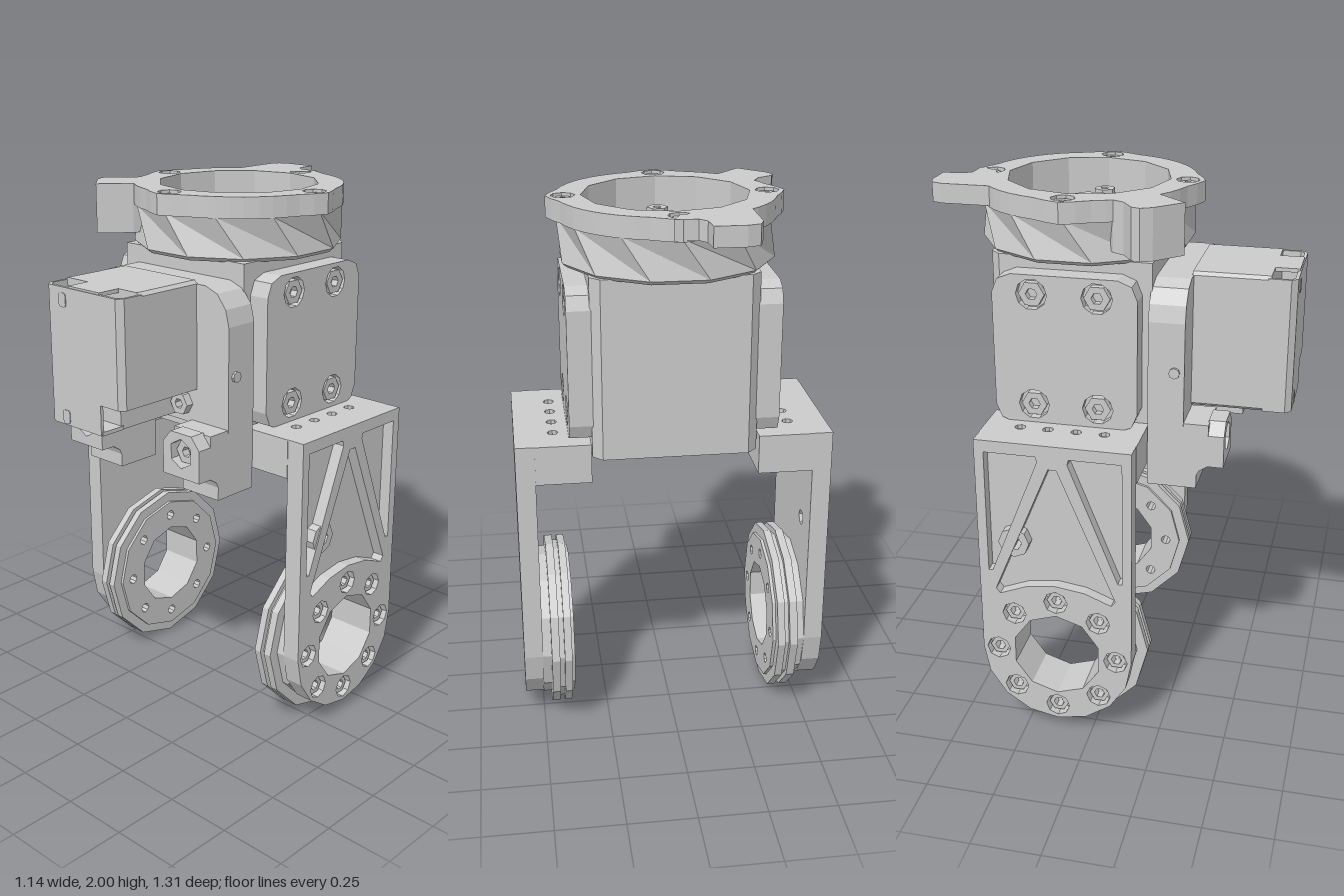
import * as THREE from 'three';

const mat = new THREE.MeshStandardMaterial({ color: 0xcccccc, flatShading: true });
const V = (a, b) => new THREE.Vector2(a, b);
const TAU = Math.PI * 2;

// ---- outline helpers ----
function ngon(n, r, cx = 0, cy = 0, turn = 0) {
  return Array.from({ length: n }, (_, i) => {
    const t = turn + (i / n) * TAU;
    return V(cx + r * Math.cos(t), cy + r * Math.sin(t));
  });
}
const pts = (list) => list.map(([a, b]) => V(a, b));
function rect(x0, y0, x1, y1, c = 0) {
  if (!c) return pts([[x0, y0], [x1, y0], [x1, y1], [x0, y1]]);
  const out = [], k = c * 0.29;
  for (const [x, y, sx, sy, flip] of [[x0, y0, 1, 1, 0], [x1, y0, -1, 1, 1], [x1, y1, -1, -1, 0], [x0, y1, 1, -1, 1]]) {
    const corner = [V(x, y + sy * c), V(x + sx * k, y + sy * k), V(x + sx * c, y)];
    out.push(...(flip ? corner.reverse() : corner));
  }
  return out;
}
// circle of n hole outlines
function holeCircle(n, R, r, cx, cy, sides = 8) {
  return ngon(n, R, cx, cy).map((p) => ngon(sides, r, p.x, p.y));
}

// Extrude an outline between two positions along an axis.
// x: outline is (-z, y); y: outline is (x, z); z: outline is (x, y)
function slab(parent, name, axis, from, to, outline, holes = []) {
  const shape = new THREE.Shape(outline);
  for (const h of holes) shape.holes.push(new THREE.Path(h));
  const g = new THREE.ExtrudeGeometry(shape, { depth: to - from, bevelEnabled: false });
  if (axis === 'x') g.rotateY(Math.PI / 2).translate(from, 0, 0);
  if (axis === 'y') g.rotateX(Math.PI / 2).translate(0, to, 0);
  if (axis === 'z') g.translate(0, 0, from);
  return add(parent, name, g);
}
function add(parent, name, g) {
  const m = new THREE.Mesh(g, mat);
  m.name = name;
  parent.add(m);
  return m;
}
// hexagonal screw head with a socket
function screw(parent, axis, from, to, a, b, r, socket = r * 0.45) {
  slab(parent, 'screw', axis, from, to, ngon(6, r, a, b), [ngon(6, socket, a, b)]);
}

// One side: mounting plate, shelf, leg and bearing ring (local z is centred on the pivot)
function buildSide() {
  const side = new THREE.Group();
  side.name = 'sideArm';

  // plate bolted to the housing
  const bolts = [[-0.117, 1.25], [0.117, 1.25], [-0.117, 1.66], [0.117, 1.66]];
  slab(side, 'sidePlateBack', 'x', 0.28, 0.345, rect(-0.26, 1.17, 0.26, 1.73, 0.07));
  slab(side, 'sidePlate', 'x', 0.345, 0.375, rect(-0.26, 1.17, 0.26, 1.73, 0.07),
    bolts.map(([a, b]) => ngon(10, 0.056, a, b)));
  for (const [a, b] of bolts) screw(side, 'x', 0.34, 0.372, a, b, 0.047);

  // shelf with a row of holes
  const row = [-0.155, -0.052, 0.052, 0.155];
  slab(side, 'shelf', 'y', 1.035, 1.18, rect(0.3, -0.287, 0.5, 0.287), row.map((z) => ngon(8, 0.02, 0.43, z)));
  for (const z of row) slab(side, 'shelfPin', 'y', 1.05, 1.165, ngon(8, 0.021, 0.43, z));

  // leg: solid inner skin and pocketed outer skin
  const cy = 0.325, leg = [V(0.285, 1.18), V(-0.285, 1.18)];
  for (let i = 0; i <= 8; i++) {
    const t = Math.PI + (i / 8) * Math.PI;
    leg.push(V(0.285 * Math.cos(t), cy + 0.285 * Math.sin(t)));
  }
  const bore = ngon(10, 0.168, 0, cy, Math.PI / 10);
  const small = holeCircle(8, 0.225, 0.02, 0, cy);
  const left = pts([[-0.25, 1.135], [-0.06, 1.135], [-0.055, 1.115], [-0.235, 0.66], [-0.25, 0.66]]);
  const right = left.map((p) => V(-p.x, p.y));
  const middle = pts([[-0.015, 1.09], [0.015, 1.09], [0.225, 0.585], [0.21, 0.565], [0.11, 0.605],
    [0, 0.62], [-0.11, 0.605], [-0.21, 0.565], [-0.225, 0.585]]);
  slab(side, 'legInnerSkin', 'x', 0.5, 0.525, leg, [bore, ...small, ngon(6, 0.03, -0.153, 0.78)]);
  slab(side, 'legOuterSkin', 'x', 0.525, 0.57, leg, [bore, left, right, middle, ...holeCircle(8, 0.225, 0.045, 0, cy)]);
  slab(side, 'legBoss', 'x', 0.52, 0.565, ngon(8, 0.058, -0.153, 0.78), [ngon(6, 0.03, -0.153, 0.78)]);
  for (const p of ngon(8, 0.225, 0, cy)) screw(side, 'x', 0.52, 0.553, p.x, p.y, 0.037, 0.02);

  // bearing ring in stacked slices with a groove round the rim
  for (const [x0, x1, r] of [[0.38, 0.392, 0.285], [0.392, 0.42, 0.325], [0.42, 0.438, 0.305], [0.438, 0.468, 0.325], [0.468, 0.5, 0.285]])
    slab(side, 'bearingRing', 'x', x0, x1, ngon(12, r, 0, cy), [bore, ...small]);
  return side;
}

// Round head on top of the housing
function buildHead() {
  const head = new THREE.Group();
  head.name = 'turntable';
  // faceted cup, lower rim turned half a facet
  const cup = new THREE.LatheGeometry(pts([[0, 1.77], [0.37, 1.77], [0.387, 1.785], [0.387, 1.93], [0.3, 1.93],
    [0.3, 1.84], [0.165, 1.84], [0.165, 1.8], [0, 1.8]]), 12);
  const p = cup.attributes.position, v = new THREE.Vector3(), up = new THREE.Vector3(0, 1, 0);
  for (let i = 0; i < p.count; i++) {
    v.fromBufferAttribute(p, i);
    if (v.y < 1.79) v.applyAxisAngle(up, Math.PI / 12);
    p.setXYZ(i, v.x, v.y, v.z);
  }
  add(head, 'cup', cup);

  // floor with two curved slots
  const slot = (mid) => {
    const out = [];
    for (let i = -4; i <= 4; i++) out.push(V(0.28 * Math.cos(mid + i * 0.09), 0.28 * Math.sin(mid + i * 0.09)));
    for (let i = 4; i >= -4; i--) out.push(V(0.2 * Math.cos(mid + i * 0.07), 0.2 * Math.sin(mid + i * 0.07)));
    return out;
  };
  slab(head, 'floorPlate', 'y', 1.835, 1.86, ngon(12, 0.305), [ngon(12, 0.163), slot(Math.PI / 4), slot(Math.PI * 1.25)]);
  slab(head, 'hub', 'y', 1.79, 1.92, ngon(8, 0.078, 0, 0, Math.PI / 8));
  for (const q of ngon(4, 0.228)) {
    slab(head, 'washer', 'y', 1.855, 1.872, ngon(10, 0.055, q.x, q.y));
    screw(head, 'y', 1.87, 1.9, q.x, q.y, 0.04, 0.016);
  }

  // flange with four swollen bolt seats
  const rim = Array.from({ length: 48 }, (_, i) => {
    const t = (i / 48) * TAU, d = Math.abs(t - Math.round(t / (Math.PI / 2)) * (Math.PI / 2));
    const r = 0.388 + 0.034 * Math.max(0, 1 - d / 0.27);
    return V(r * Math.cos(t), r * Math.sin(t));
  });
  slab(head, 'flange', 'y', 1.925, 2, rim, [ngon(12, 0.298), ...holeCircle(4, 0.36, 0.043, 0, 0)]);
  for (const q of ngon(4, 0.36)) screw(head, 'y', 1.93, 1.99, q.x, q.y, 0.037, 0.016);

  // stop tabs
  slab(head, 'rearTab', 'y', 1.93, 2, pts([[-0.25, -0.26], [-0.25, -0.47], [-0.235, -0.51], [-0.19, -0.525],
    [-0.08, -0.525], [-0.075, -0.45], [-0.05, -0.422], [0.03, -0.42], [0, -0.35], [-0.16, -0.3]]));
  slab(head, 'sideTab', 'y', 1.82, 2, pts([[-0.35, 0.17], [-0.37, 0.21], [-0.43, 0.25], [-0.44, 0.28],
    [-0.42, 0.32], [-0.33, 0.41], [-0.24, 0.31], [-0.22, 0.26], [-0.3, 0.14]]));
  head.position.z = -0.13;
  return head;
}

// Motor, its front plate and the two clamp lugs
function buildMotor() {
  const motor = new THREE.Group();
  motor.name = 'motorUnit';
  const arch = pts([[-0.34, 1.2], [0.34, 1.2], [0.34, 1.58], [0.325, 1.64], [0.285, 1.69], [0.23, 1.71],
    [-0.23, 1.71], [-0.285, 1.69], [-0.325, 1.64], [-0.34, 1.58]]);
  slab(motor, 'frontPlate', 'z', 0.16, 0.29, arch);
  screw(motor, 'z', 0.29, 0.32, 0.125, 1.27, 0.042);
  for (const s of [-1, 1]) {
    const pin = add(motor, 'platePin', new THREE.CylinderGeometry(0.02, 0.02, 0.02, 8));
    pin.rotation.z = Math.PI / 2;
    pin.position.set(s * 0.34, 1.4, 0.255);
  }

  // motor can with one lower corner cut away
  slab(motor, 'motorCan', 'z', 0.285, 0.56, pts([[-0.18, 1.22], [0.08, 1.22], [0.08, 1.33], [0.188, 1.33],
    [0.188, 1.71], [0.175, 1.722], [-0.175, 1.722], [-0.188, 1.71], [-0.188, 1.23]]));
  // wrapped cover sheet at the front
  const sheet = pts([[-0.188, 0.55], [-0.188, 0.63], [-0.168, 0.652], [0.168, 0.652], [0.188, 0.63], [0.188, 0.55],
    [0.176, 0.55], [0.176, 0.625], [0.162, 0.64], [-0.162, 0.64], [-0.176, 0.625], [-0.176, 0.55]]);
  slab(motor, 'coverUpper', 'y', 1.33, 1.715, sheet);
  slab(motor, 'coverLower', 'y', 1.22, 1.33, sheet.map((p) => V(Math.min(p.x, p.x > 0.1 ? 0.08 + p.y * 1e-4 : p.x), p.y)).filter((p) => p.x < 0.05 || p.y > 0.635));
  for (const y of [1.22, 1.708]) slab(motor, 'coverTongue', 'y', y, y + 0.014, rect(-0.07, 0.55, 0.085, 0.648));
  for (const y of [1.25, 1.67]) slab(motor, 'coverHook', 'z', 0.64, 0.655, rect(-0.115, y - 0.025, -0.08, y + 0.025, 0.01));

  // clamp lugs
  for (const s of [-1, 1]) {
    const c = s * 0.25;
    const heel = slab(motor, 'lugHeel', 'x', -0.088, 0.088, pts([[-0.34, 0.96], [-0.16, 0.96], [-0.16, 1.21],
      [-0.38, 1.21], [-0.38, 1.05], [-0.35, 1.03], [-0.34, 1.01]]));
    heel.position.x = c;
    slab(motor, 'lugNose', 'z', 0.375, 0.437, pts([[c - 0.088, 1.05], [c + 0.088, 1.05], [c + 0.088, 1.17],
      [c + 0.05, 1.215], [c - 0.05, 1.215], [c - 0.088, 1.17]]), [ngon(6, 0.055, c, 1.14, Math.PI / 6)]);
    screw(motor, 'z', 0.37, 0.41, c, 1.14, 0.047, 0.02);
  }
  return motor;
}

export function createModel() {
  const model = new THREE.Group();
  model.name = 'jointBracket';

  // central housing with chamfered upright edges
  slab(model, 'housing', 'y', 1.12, 1.775, pts([[-0.26, -0.42], [0.26, -0.42], [0.295, -0.385], [0.295, 0.165],
    [-0.295, 0.165], [-0.295, -0.385]]));

  // the two sides are half-turn copies about the pivot
  for (const turn of [0, Math.PI]) {
    const side = buildSide();
    side.position.z = -0.13;
    side.rotation.y = turn;
    model.add(side);
  }
  model.add(buildHead(), buildMotor());
  return model;
}
